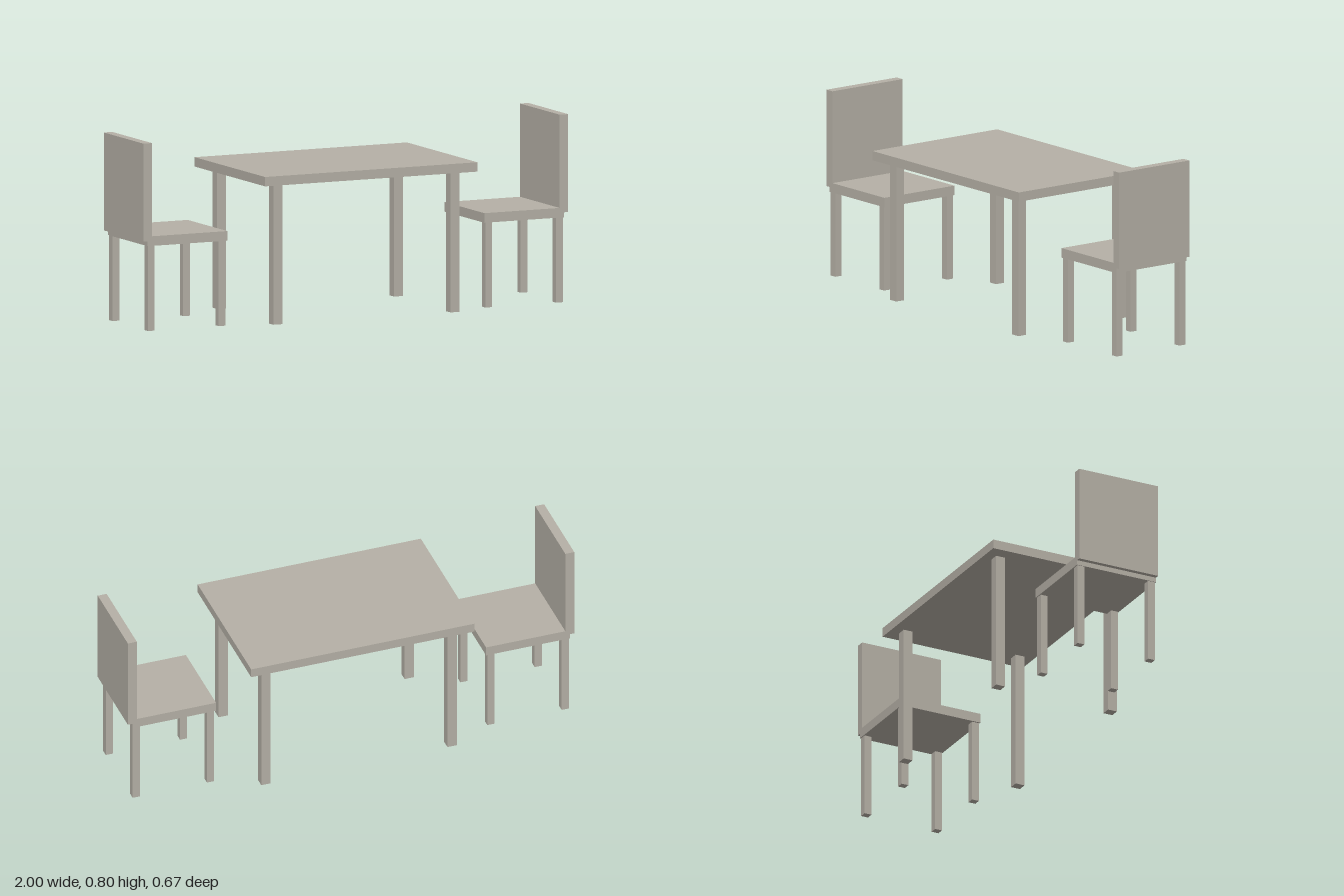
import * as THREE from 'three';

const wood = new THREE.MeshStandardMaterial({ color: 0xb5b0a6 });
wood.name = 'pale wood';

// Adds a box given by its extents along each axis
function addBox(parent, name, [x0, x1], [y0, y1], [z0, z1]) {
  const mesh = new THREE.Mesh(new THREE.BoxGeometry(x1 - x0, y1 - y0, z1 - z0), wood);
  mesh.position.set((x0 + x1) / 2, (y0 + y1) / 2, (z0 + z1) / 2);
  mesh.name = name;
  parent.add(mesh);
}

// Adds four square legs centred at the given x and z positions
function addLegs(parent, name, xs, z, width, y) {
  const h = width / 2;
  for (const x of xs) {
    for (const s of [-1, 1]) {
      addBox(parent, name, [x - h, x + h], y, [s * z - h, s * z + h]);
    }
  }
}

function createTable() {
  const table = new THREE.Group();
  table.name = 'table';
  addBox(table, 'tableTop', [-0.5, 0.5], [0.605, 0.645], [-0.334, 0.334]);
  addLegs(table, 'tableLeg', [-0.417, 0.417], 0.267, 0.042, [0.006, 0.605]);
  return table;
}

// Chair on the +x side, facing the table
function createChair(name) {
  const chair = new THREE.Group();
  chair.name = name;
  addBox(chair, 'seat', [0.605, 0.98], [0.362, 0.403], [-0.188, 0.188]);
  addBox(chair, 'backrest', [0.96, 1], [0.383, 0.8], [-0.188, 0.188]);
  addLegs(chair, 'chairLeg', [0.628, 0.961], 0.168, 0.032, [0, 0.362]);
  return chair;
}

export function createModel() {
  const model = new THREE.Group();
  model.name = 'diningSet';
  const rightChair = createChair('rightChair');
  rightChair.rotation.y = Math.PI;
  model.add(createTable(), createChair('leftChair'), rightChair);
  return model;
}
